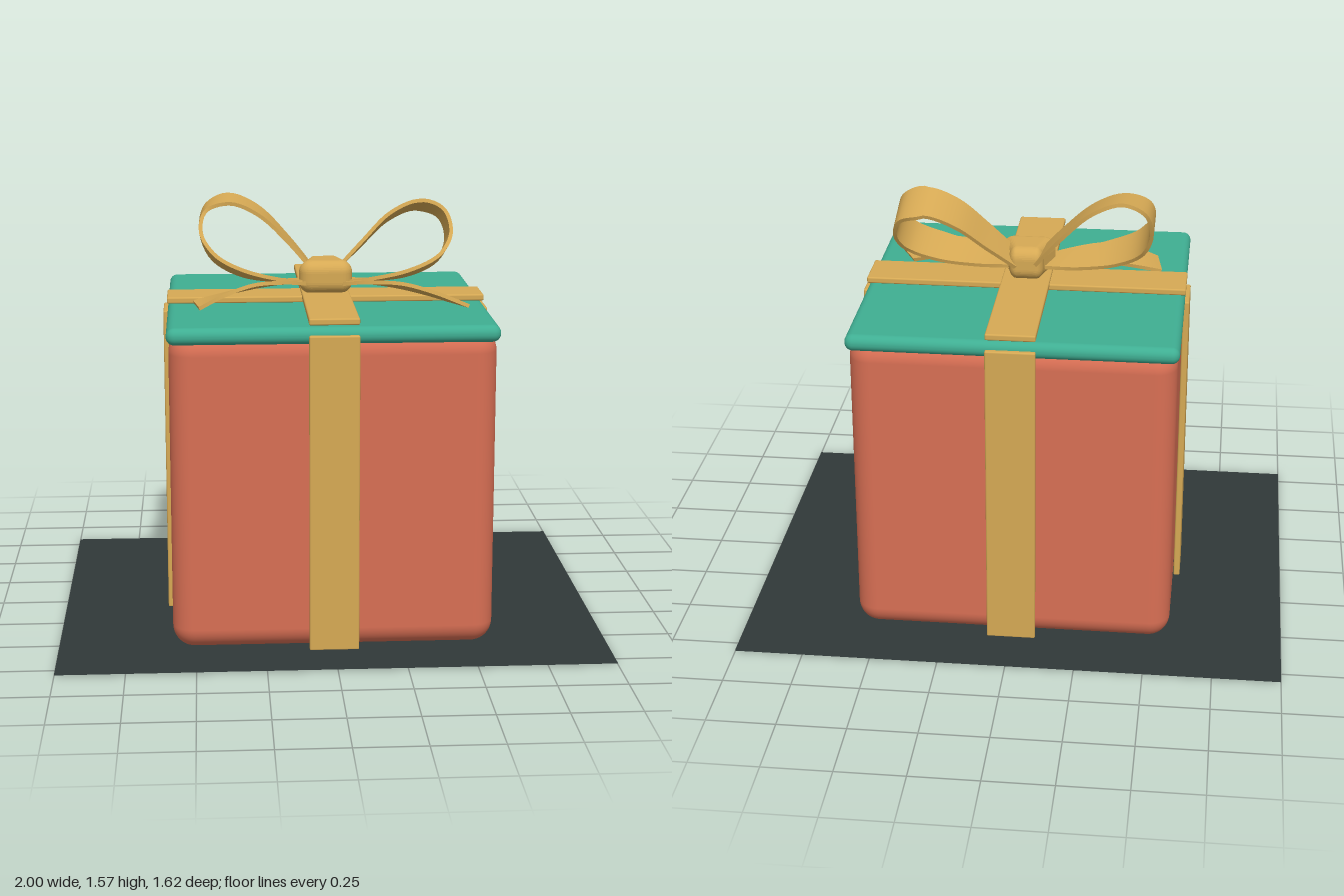
import * as THREE from 'three';
import { RoundedBoxGeometry } from 'three/addons/geometries/RoundedBoxGeometry.js';

const material = (name, color) => {
  const m = new THREE.MeshStandardMaterial({ color });
  m.name = name;
  return m;
};

// Thick ribbon through points [x, y, z, halfWidth, tilt]; tilt is the rise in y per unit of width in z.
// Optional skew slides the front edge outwards in x towards the end.
function ribbonGeometry(points, side, skew = 0, thickness = 0.014, steps = 48) {
  const path = new THREE.CatmullRomCurve3(points.map(p => new THREE.Vector3(p[0] * side, p[1], p[2])));
  const shape = new THREE.CatmullRomCurve3(points.map(p => new THREE.Vector3(p[3], p[4], 0)));
  const rings = [];
  for (let i = 0; i <= steps; i++) {
    const t = i / steps;
    const c = path.getPoint(t), s = shape.getPoint(t);
    const w = new THREE.Vector3(skew * side * t * t, s.y, 1).normalize().multiplyScalar(s.x);
    const n = path.getTangent(t).cross(w).normalize().multiplyScalar(thickness / 2);
    rings.push([
      c.clone().add(w).add(n), c.clone().sub(w).add(n),
      c.clone().sub(w).sub(n), c.clone().add(w).sub(n),
    ]);
  }
  const pos = [], index = [];
  // Each of the four sides has its own vertices, so its edges stay sharp
  for (let k = 0; k < 4; k++) {
    const base = pos.length / 3;
    for (const r of rings) pos.push(...r[k].toArray(), ...r[(k + 1) % 4].toArray());
    for (let i = 0; i < steps; i++) {
      const a = base + i * 2;
      index.push(a, a + 1, a + 2, a + 1, a + 3, a + 2);
    }
  }
  // End caps
  for (const [r, order] of [[rings[0], [0, 2, 1, 0, 3, 2]], [rings[steps], [0, 1, 2, 0, 2, 3]]]) {
    const base = pos.length / 3;
    r.forEach(p => pos.push(...p.toArray()));
    index.push(...order.map(o => base + o));
  }
  const g = new THREE.BufferGeometry();
  g.setAttribute('position', new THREE.Float32BufferAttribute(pos, 3));
  g.setIndex(index);
  g.computeVertexNormals();
  return g;
}

export function createModel() {
  const group = new THREE.Group();
  const coral = material('coral paper', 0xd86f54);
  const teal = material('teal lid', 0x3fae92);
  const gold = material('gold ribbon', 0xd6a954);
  const slate = material('dark ground', 0x303939);
  slate.side = THREE.DoubleSide;
  gold.side = THREE.DoubleSide;

  const add = (name, geometry, mat, x = 0, y = 0, z = 0, parent = group) => {
    const mesh = new THREE.Mesh(geometry, mat);
    mesh.name = name;
    mesh.position.set(x, y, z);
    parent.add(mesh);
    return mesh;
  };

  // Ground sheet, box and lid
  add('groundSheet', new THREE.PlaneGeometry(2, 1.62).rotateX(-Math.PI / 2), slate, 0, 0.005, 0);
  add('boxBody', new RoundedBoxGeometry(1.17, 1.17, 1.17, 6, 0.08), coral, 0, 0.585, 0);
  add('lid', new RoundedBoxGeometry(1.185, 0.062, 1.185, 5, 0.03), teal, 0, 1.161, 0);

  // Flat ribbons down the four sides
  for (let i = 0; i < 4; i++) {
    const a = i * Math.PI / 2;
    const strip = add('sideRibbon', new RoundedBoxGeometry(0.18, 1.163, 0.024, 2, 0.006), gold,
      Math.sin(a) * 0.597, 0.5835, Math.cos(a) * 0.597);
    strip.rotation.y = a;
  }
  // Ribbons crossing on the lid
  add('lidRibbonAcross', new RoundedBoxGeometry(1.19, 0.024, 0.18, 2, 0.006), gold, 0, 1.203, 0);
  add('lidRibbonAlong', new RoundedBoxGeometry(0.18, 0.024, 1.19, 2, 0.006), gold, 0, 1.213, 0);

  // Bow
  const bow = new THREE.Group();
  bow.name = 'bow';
  group.add(bow);

  const leftLoop = [
    [0.03, 1.28, -0.03, 0.055, 0.2], [0.14, 1.385, -0.068, 0.07, 0.3], [0.25, 1.485, -0.105, 0.08, 0.33],
    [0.36, 1.528, -0.115, 0.084, 0.33], [0.45, 1.5, -0.1, 0.084, 0.33], [0.475, 1.42, -0.05, 0.084, 0.33],
    [0.43, 1.345, 0.01, 0.084, 0.33], [0.32, 1.295, 0.043, 0.082, 0.3], [0.18, 1.27, 0.04, 0.07, 0.2],
    [0.03, 1.26, 0.015, 0.05, 0],
  ];
  const rightLoop = [
    [0.03, 1.28, -0.03, 0.055, 0], [0.13, 1.4, -0.065, 0.065, -0.05], [0.25, 1.515, -0.09, 0.075, -0.1],
    [0.36, 1.558, -0.095, 0.078, -0.1], [0.445, 1.525, -0.085, 0.08, 0], [0.465, 1.44, -0.045, 0.082, 0.15],
    [0.42, 1.355, 0.005, 0.084, 0.3], [0.32, 1.3, 0.038, 0.08, 0.3], [0.18, 1.27, 0.04, 0.07, 0.2],
    [0.03, 1.26, 0.015, 0.05, 0],
  ];
  add('leftLoop', ribbonGeometry(leftLoop, 1), gold, 0, 0, 0, bow);
  add('rightLoop', ribbonGeometry(rightLoop, -1), gold, 0, 0, 0, bow);

  // Tails arching down to the lid
  const tail = [
    [0.03, 1.255, 0.04, 0.04, 0], [0.14, 1.265, 0.085, 0.05, 0.15], [0.27, 1.262, 0.14, 0.06, 0.25],
    [0.39, 1.235, 0.178, 0.068, 0.15], [0.485, 1.203, 0.198, 0.072, 0],
  ];
  add('leftTail', ribbonGeometry(tail, 1, 0.5), gold, 0, 0, 0, bow);
  add('rightTail', ribbonGeometry(tail.map(p => [p[0], p[1], p[2] - 0.01, p[3], p[4]]), -1, -0.15), gold, 0, 0, 0, bow);

  // Knot, wide at the front and narrower towards the back
  const knot = new RoundedBoxGeometry(0.2, 0.125, 0.185, 6, 0.045);
  const p = knot.attributes.position;
  for (let i = 0; i < p.count; i++) {
    const k = THREE.MathUtils.smoothstep(p.getZ(i), -0.03, 0.05);
    p.setX(i, p.getX(i) * (0.65 + 0.35 * k));
  }
  knot.computeVertexNormals();
  add('knot', knot, gold, 0, 1.283, 0.005, bow);

  return group;
}
